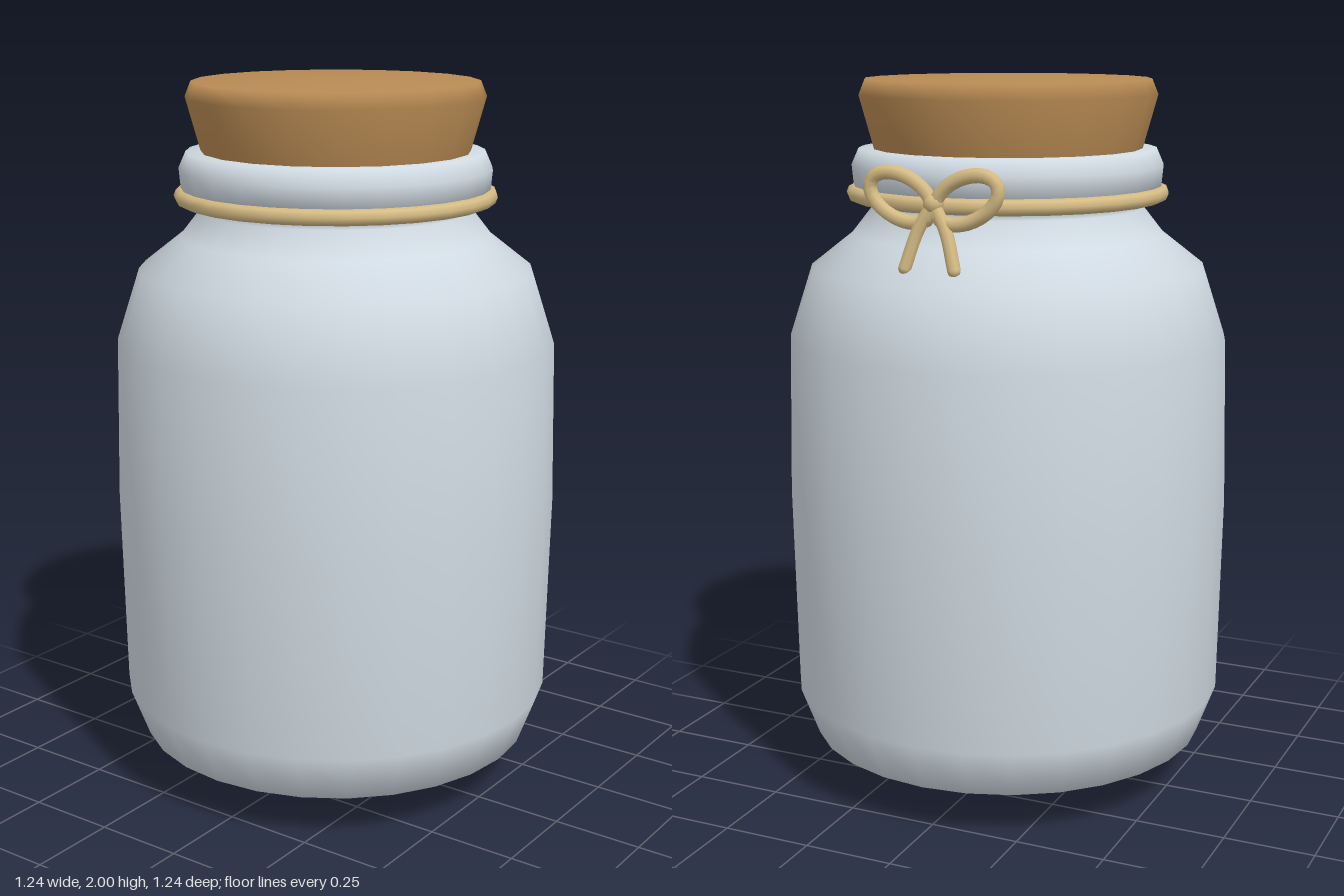
import * as THREE from 'three';

const makeMaterial = (name, color) => {
  const m = new THREE.MeshStandardMaterial({ color });
  m.name = name;
  return m;
};

export function createModel() {
  const model = new THREE.Group();
  model.name = 'corkedJar';

  const glass = makeMaterial('pale glass', 0xd0dae2);
  const cork = makeMaterial('cork', 0xb88a53);
  const twine = makeMaterial('twine', 0xd6bc84);
  const green = makeMaterial('green filling', 0x3a7433);

  const add = (name, geometry, material, parent = model) => {
    const mesh = new THREE.Mesh(geometry, material);
    mesh.name = name;
    parent.add(mesh);
    return mesh;
  };
  const lathe = (points, sides) =>
    new THREE.LatheGeometry(points.map(([r, y]) => new THREE.Vector2(r, y)), sides);

  // Jar wall, shoulder, neck and rolled lip
  add('jar', lathe([
    [0.36, 0.075], [0.41, 0.08], [0.56, 0.135], [0.61, 0.27], [0.62, 0.83], [0.61, 1.28],
    [0.545, 1.48], [0.43, 1.57], [0.375, 1.64], [0.38, 1.67], [0.425, 1.7],
    [0.43, 1.755], [0.41, 1.8], [0.34, 1.8],
  ], 28), glass);

  // Rounded filling that shows under the jar
  add('filling', lathe([
    [0, 0], [0.11, 0.006], [0.22, 0.024], [0.33, 0.052], [0.42, 0.083], [0.5, 0.16],
    [0.45, 0.25], [0, 0.27],
  ], 24), green);

  // Tapered stopper with a softened rim
  add('corkStopper', lathe([
    [0, 1.7], [0.34, 1.7], [0.37, 1.8], [0.41, 1.945], [0.393, 1.987], [0, 2],
  ], 20), cork);

  // Twine around the neck
  const ring = add('neckTwine', new THREE.TorusGeometry(0.423, 0.022, 8, 28), twine);
  ring.rotation.x = Math.PI / 2;
  ring.position.y = 1.68;

  // Bow at the back: two tilted loops, two tails and a knot
  const bow = new THREE.Group();
  bow.name = 'bow';
  bow.position.set(0, 1.69, -0.46);
  model.add(bow);

  const tilt = 0.42;
  for (const side of [-1, 1]) {
    const loop = [];
    for (let i = 0; i < 16; i++) {
      const a = (i / 16) * Math.PI * 2;
      const u = 0.095 * Math.cos(a), v = 0.055 * Math.sin(a);
      loop.push(new THREE.Vector3(
        side * (0.092 + u * Math.cos(tilt) - v * Math.sin(tilt)),
        0.012 + u * Math.sin(tilt) + v * Math.cos(tilt), 0));
    }
    add('bowLoop', new THREE.TubeGeometry(
      new THREE.CatmullRomCurve3(loop, true), 24, 0.019, 8, true), twine, bow);

    const tail = new THREE.CatmullRomCurve3([
      new THREE.Vector3(0, 0, 0),
      new THREE.Vector3(side * 0.04, -0.07, -0.01),
      new THREE.Vector3(side * 0.07, -0.165, -0.026),
    ]);
    add('bowTail', new THREE.TubeGeometry(tail, 8, 0.018, 8), twine, bow);

    // Rounded end of the tail
    add('tailEnd', new THREE.SphereGeometry(0.018, 8, 6), twine, bow)
      .position.copy(tail.getPoint(1));
  }
  add('knot', new THREE.SphereGeometry(0.027, 10, 8), twine, bow);

  return model;
}
